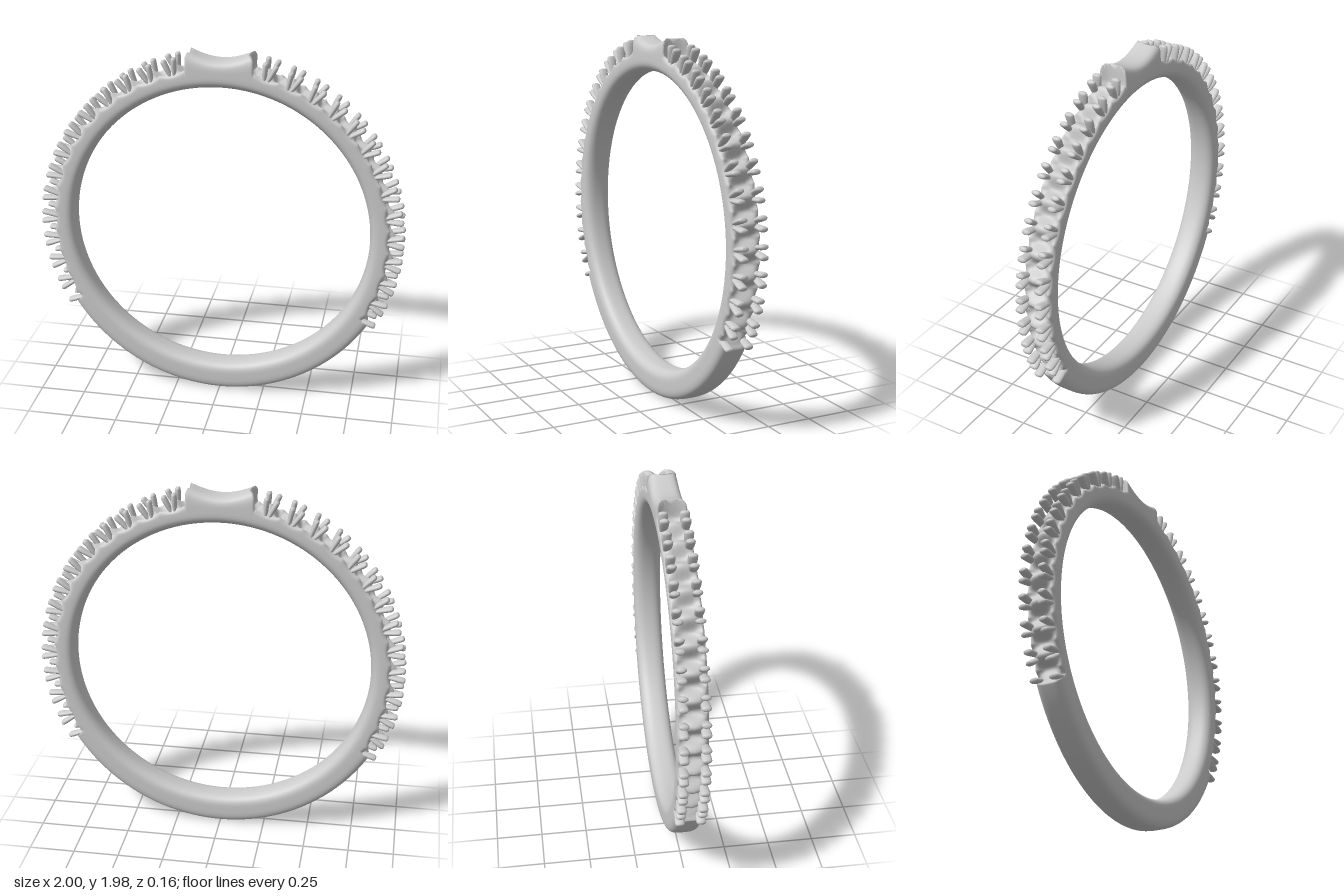
import * as THREE from 'three';

const CY = 0.98;              // height of the ring centre
const INNER = 0.815;          // finger hole radius
const HALF_W = 0.08;          // half the band width
const MID = 0.88;             // radius where the section is widest
const PITCH = 8.12;           // degrees between prong groups
const FIRST = 74.3;           // angle of the group nearest the top bridge
const rad = THREE.MathUtils.degToRad;
const spow = (v, p) => Math.sign(v) * Math.pow(Math.abs(v), p);

// Outer radius of the band; deg is the elevation (-90 bottom .. 90 top)
function outerRadius(deg, z) {
  const zz = Math.min(1, Math.abs(z) / 0.07);
  // plain lower shank
  const shank = 0.967 + 0.013 * THREE.MathUtils.smoothstep(-deg, 30, 90);
  // stone seats: hollow along the middle, small peaks along the rims
  const k = (deg - FIRST) / PITCH;
  const t = Math.abs(k - Math.round(k)) * 2;          // 0 at prongs, 1 mid gap
  const centre = 0.925 + 0.03 * Math.cos(Math.PI * t);
  const rim = 0.918 + 0.022 * t * t;
  const seat = THREE.MathUtils.lerp(centre, rim, zz * zz);
  // saddle-shaped bridge on top
  const a = rad(90 - deg);
  const x = Math.sin(a);
  const bridge = (0.96 + 0.047 * Math.pow(Math.min(1, x / 0.17), 2)) / Math.cos(a);
  const bridgeEnd = 9.2 + 1.5 * zz * zz;
  const toBridge = THREE.MathUtils.smoothstep(deg, 90 - bridgeEnd - 0.5, 90 - bridgeEnd + 0.4);
  const shankEnd = -31 + 0.8 * zz * zz;
  const toShank = 1 - THREE.MathUtils.smoothstep(deg, shankEnd - 0.4, shankEnd + 0.4);
  let r = THREE.MathUtils.lerp(seat, bridge, toBridge);
  return THREE.MathUtils.lerp(r, shank, toShank);
}

// Closed band swept from a rounded section
function bandGeometry(n = 900, m = 44) {
  const pos = [], idx = [];
  for (let i = 0; i < n; i++) {
    const th = (i / n) * Math.PI * 2;
    const deg = THREE.MathUtils.radToDeg(Math.asin(Math.sin(th)));
    for (let j = 0; j < m; j++) {
      const s = (j / m) * Math.PI * 2;
      const c = Math.cos(s), q = Math.sin(s);
      const p = q > 0 ? 0.52 : 0.75;                  // squarer outside, domed inside
      const z = HALF_W * spow(c, p);
      const h = q > 0 ? outerRadius(deg, z) - MID : MID - INNER;
      const r = MID + h * spow(q, p);
      pos.push(r * Math.cos(th), CY + r * Math.sin(th), z);
      const i2 = (i + 1) % n, j2 = (j + 1) % m;
      const A = i * m + j, B = i2 * m + j, C = i2 * m + j2, D = i * m + j2;
      idx.push(A, D, B, B, D, C);
    }
  }
  const g = new THREE.BufferGeometry();
  g.setAttribute('position', new THREE.Float32BufferAttribute(pos, 3));
  g.setIndex(idx);
  g.computeVertexNormals();
  return g;
}

// One claw: a tapered oval post with a softly rounded tip
function prongGeometry() {
  const profile = [[0.008, 0], [0.012, 0.03], [0.0145, 0.07], [0.0145, 0.095],
    [0.012, 0.103], [0.007, 0.106], [0, 0.107]].map(([x, y]) => new THREE.Vector2(x, y));
  return new THREE.LatheGeometry(profile, 14).scale(1, 1, 1.75);
}

export function createModel() {
  const model = new THREE.Group();
  model.name = 'ring';
  const metal = new THREE.MeshStandardMaterial({ color: 0xcccccc });

  const band = new THREE.Mesh(bandGeometry(), metal);
  band.name = 'band';
  model.add(band);

  // Four claws per group, fanned out in pairs on both rims and both sides
  const prong = prongGeometry();
  for (const side of [1, -1]) {
    const row = new THREE.Group();
    row.name = side > 0 ? 'leftProngs' : 'rightProngs';
    for (let k = 0; k <= 13; k++) {
      const centre = FIRST - k * PITCH;
      for (const lean of [1, -1]) {
        if (k === 13 && lean < 0) continue;           // last group is cut by the shank
        const phi = rad(centre + lean * 0.5);
        const a = side > 0 ? phi : Math.PI - phi;
        for (const rim of [1, -1]) {
          const claw = new THREE.Mesh(prong, metal);
          claw.name = 'prong';
          claw.position.set(0.895 * Math.cos(a), CY + 0.895 * Math.sin(a), rim * 0.055);
          claw.rotation.z = a - Math.PI / 2 + side * lean * 0.2;
          row.add(claw);
        }
      }
    }
    model.add(row);
  }
  return model;
}
